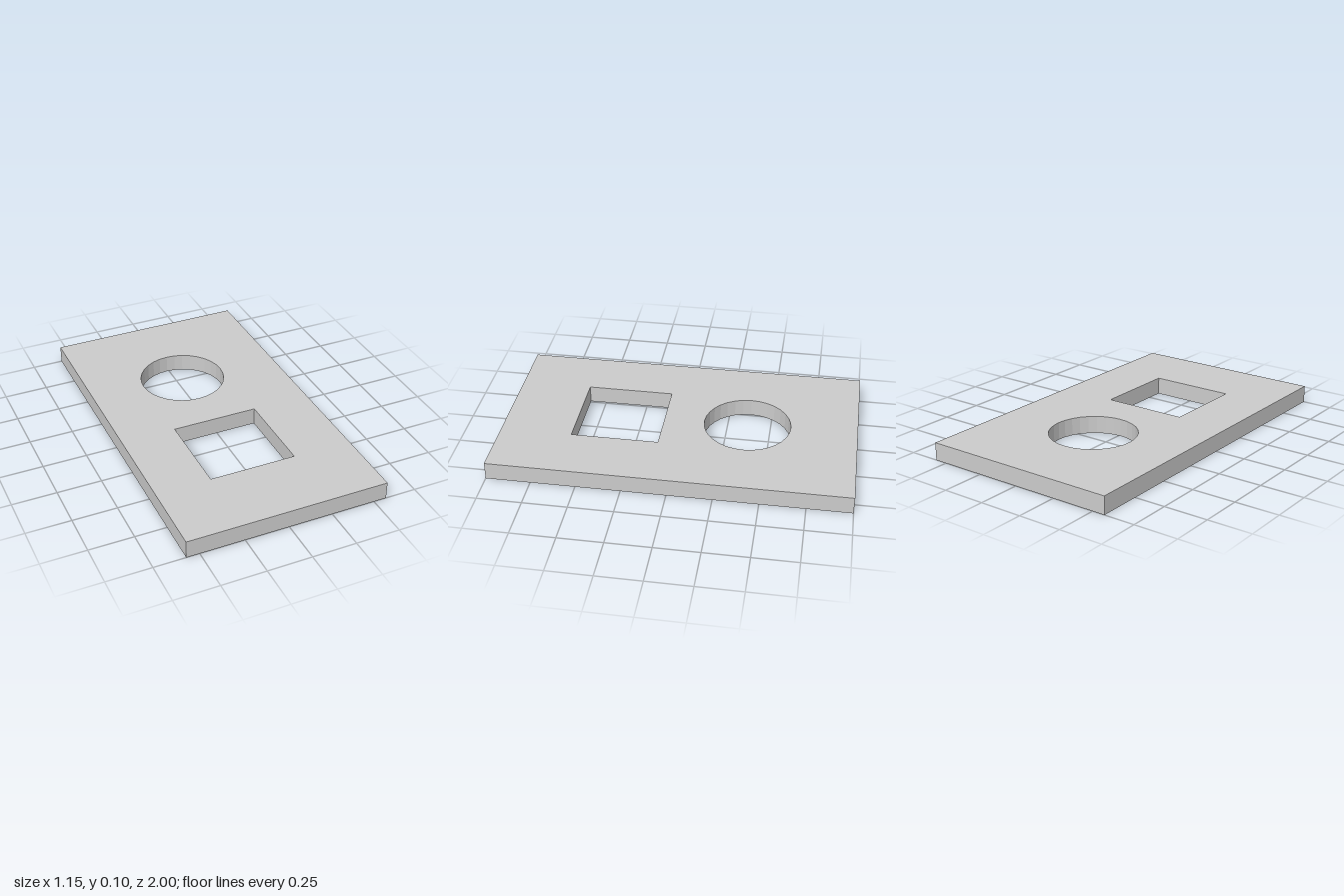
import * as THREE from 'three';

const WIDTH = 1.146, LENGTH = 2, THICKNESS = 0.101;
const HOLE_X = -0.012, HOLE_RADIUS = 0.247;
const ROUND_Z = -0.376, SQUARE_Z = 0.347;

// Closed rectangle outline centred on (x, y)
function rectangle(PathType, x, y, w, h) {
  return new PathType([[-1, -1], [1, -1], [1, 1], [-1, 1]].map(
    ([sx, sy]) => new THREE.Vector2(x + sx * w / 2, y + sy * h / 2))).closePath();
}

export function createModel() {
  const model = new THREE.Group();
  model.name = 'plateWithHoles';

  // Plate outline, drawn flat with shape y = -z
  const outline = rectangle(THREE.Shape, 0, 0, WIDTH, LENGTH);

  // Round hole at the back, square hole at the front
  const roundHole = new THREE.Path().absarc(HOLE_X, -ROUND_Z, HOLE_RADIUS, 0, Math.PI * 2, true);
  const squareHole = rectangle(THREE.Path, HOLE_X, -SQUARE_Z, HOLE_RADIUS * 2, HOLE_RADIUS * 2);
  outline.holes.push(roundHole, squareHole);

  // Extrude the thickness and lay the plate on the ground
  const geometry = new THREE.ExtrudeGeometry(outline, {
    depth: THICKNESS, bevelEnabled: false, curveSegments: 16,
  });
  geometry.rotateX(-Math.PI / 2);

  const plate = new THREE.Mesh(geometry,
    new THREE.MeshStandardMaterial({ color: 0xcccccc, flatShading: true }));
  plate.name = 'plate';
  model.add(plate);
  return model;
}
